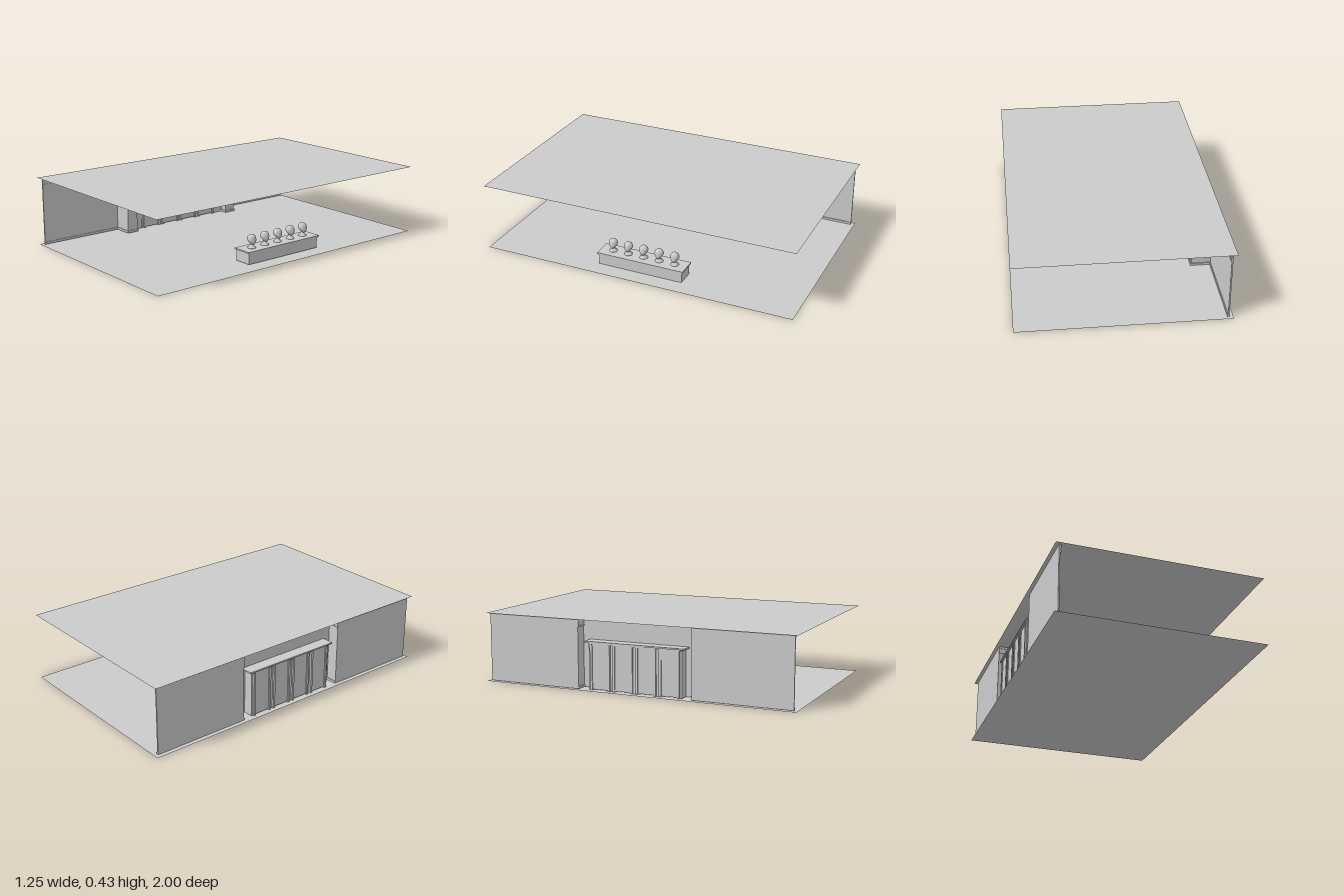
import * as THREE from 'three';

const mat = new THREE.MeshStandardMaterial({ color: 0xcccccc, side: THREE.DoubleSide });

function mesh(geo, name, parent) {
  const m = new THREE.Mesh(geo, mat);
  m.name = name;
  parent.add(m);
  return m;
}

// Box given by its low and high limits on each axis
function box(parent, name, x0, x1, y0, y1, z0, z1) {
  const m = mesh(new THREE.BoxGeometry(x1 - x0, y1 - y0, z1 - z0), name, parent);
  m.position.set((x0 + x1) / 2, (y0 + y1) / 2, (z0 + z1) / 2);
  return m;
}

// Egg-shaped head that narrows to a chin on the +x side
function headGeometry() {
  const g = new THREE.SphereGeometry(1, 24, 16);
  const p = g.attributes.position;
  for (let i = 0; i < p.count; i++) {
    const y = p.getY(i);
    const low = Math.max(0, -y);
    let x = p.getX(i) * (1 - 0.1 * low);
    if (x > 0) x *= 0.88;
    p.setXYZ(i, x * 0.029 + low * 0.012, y * 0.031, p.getZ(i) * 0.028 * (1 - 0.35 * low));
  }
  g.computeVertexNormals();
  return g;
}

export function createModel() {
  const model = new THREE.Group();
  model.name = 'shopInterior';
  const top = 0.425;

  // Floor and ceiling sheets
  for (const [name, y] of [['floor', 0], ['ceiling', top]]) {
    const sheet = mesh(new THREE.PlaneGeometry(1.25, 2), name, model);
    sheet.rotation.x = -Math.PI / 2;
    sheet.position.y = y;
  }

  // Side walls and piers, each with baseboard and cornice bands
  const bands = [[0.004, 0.018, 0.005], [0.376, 0.386, 0.005], [0.386, 0.41, 0.002], [0.41, 0.423, 0.005]];
  for (const s of [-1, 1]) {
    const side = new THREE.Group();
    side.name = s > 0 ? 'leftWall' : 'rightWall';
    model.add(side);
    const span = (name, x0, x1, y0, y1, a, b) =>
      box(side, name, x0, x1, y0, y1, Math.min(s * a, s * b), Math.max(s * a, s * b));
    span('wallPanel', -0.602, -0.594, 0.003, top - 0.001, 0.44, 0.98);
    span('pier', -0.602, -0.475, 0.003, top - 0.001, 0.368, 0.44);
    for (const [y0, y1, d] of bands) {
      span('wallMoulding', -0.602, -0.594 + d, y0, y1, 0.44, 0.98);
      span('pierMoulding', -0.601, -0.475 + d, y0, y1, 0.368 - d, 0.44 + d);
    }
  }

  // Recessed middle wall, open behind the doors
  const entry = new THREE.Group();
  entry.name = 'entrance';
  model.add(entry);
  box(entry, 'wallAboveDoors', -0.53, -0.522, 0.285, top - 0.001, -0.368, 0.368);
  for (const s of [-1, 1])
    box(entry, 'wallBesideDoors', -0.53, -0.522, 0.003, 0.285, s * 0.332 - 0.036, s * 0.332 + 0.036);

  // Door unit with lintel and four framed leaves
  box(entry, 'lintel', -0.605, -0.505, 0.288, 0.297, -0.323, 0.323);
  box(entry, 'doorHead', -0.598, -0.512, 0.279, 0.288, -0.296, 0.296);
  for (let i = 0; i < 4; i++) {
    const z = (i - 1.5) * 0.15;
    box(entry, 'doorLeaf', -0.594, -0.516, 0.008, 0.28, z - 0.062, z + 0.062);
    for (const s of [-1, 1])
      box(entry, 'doorStile', -0.6, -0.511, 0.003, 0.28, z + s * 0.058 - 0.007, z + s * 0.058 + 0.007);
  }
  for (let i = 0; i < 5; i++) {
    const z = (i - 2) * 0.145;
    box(entry, 'doorPost', -0.59, -0.52, 0.003, 0.28, z - 0.012, z + 0.012);
  }

  // Display counter with stepped top
  const counter = new THREE.Group();
  counter.name = 'counter';
  model.add(counter);
  box(counter, 'counterBody', 0.413, 0.525, 0.004, 0.068, -0.273, 0.273);
  box(counter, 'counterNeck', 0.41, 0.528, 0.066, 0.074, -0.277, 0.277);
  box(counter, 'counterTop', 0.405, 0.533, 0.074, 0.082, -0.283, 0.283);

  // Row of display heads on flared stands
  const standGeo = new THREE.LatheGeometry(
    [[0.025, 0], [0.025, 0.003], [0.014, 0.012], [0.009, 0.022], [0.009, 0.04]].map(([x, y]) => new THREE.Vector2(x, y)), 20);
  const headGeo = headGeometry();
  for (let i = 0; i < 5; i++) {
    const bust = new THREE.Group();
    bust.name = 'displayHead';
    bust.position.set(0.468, 0.082, (i - 2) * 0.102);
    mesh(standGeo, 'stand', bust);
    mesh(headGeo, 'head', bust).position.set(0, 0.052, 0);
    model.add(bust);
  }
  return model;
}
